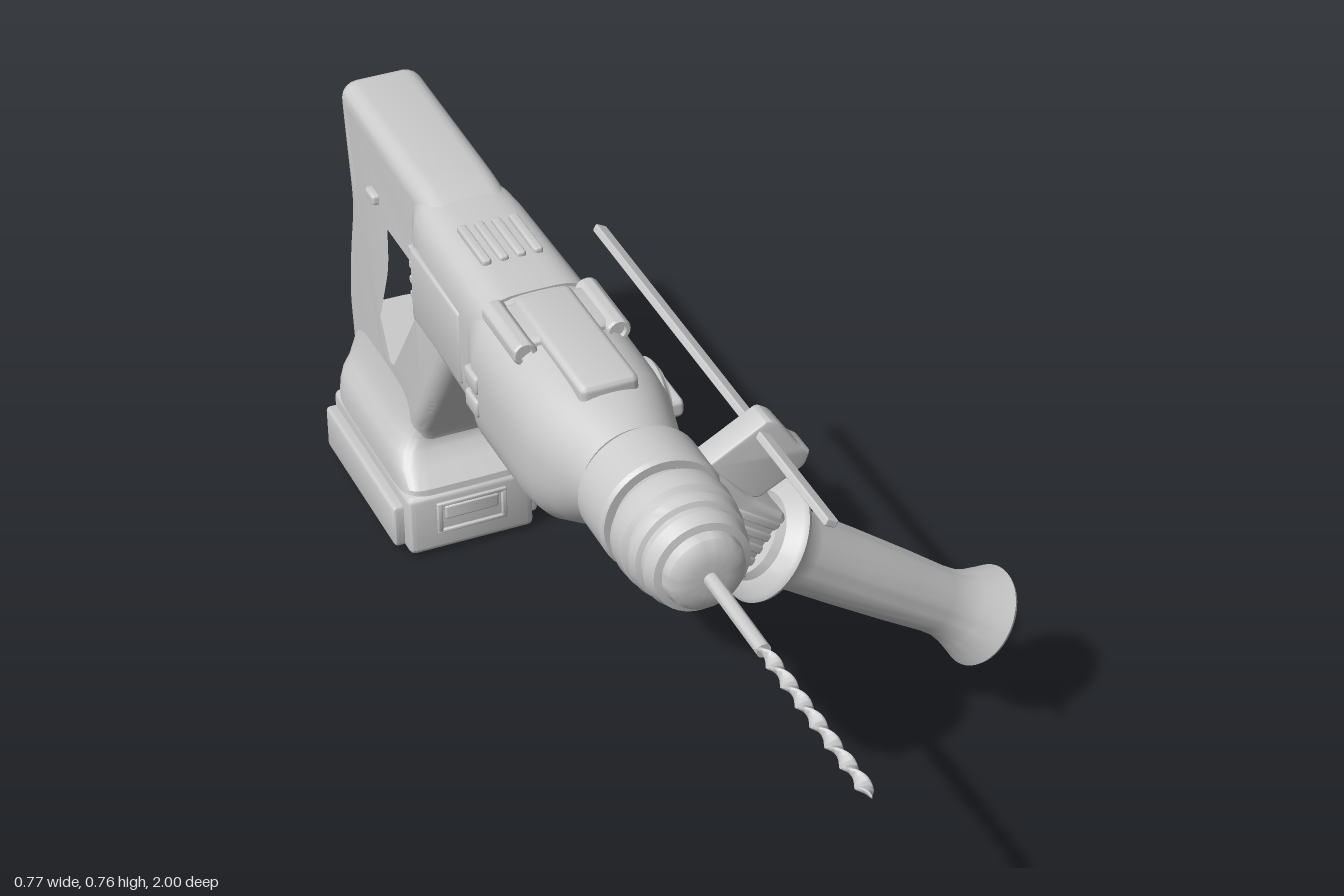
import * as THREE from 'three';
import { toCreasedNormals, mergeVertices } from 'three/addons/utils/BufferGeometryUtils.js';
import { RoundedBoxGeometry } from 'three/addons/geometries/RoundedBoxGeometry.js';

const X = -0.25, Y = 0.635; // tool axis
const material = new THREE.MeshStandardMaterial({ color: 0xcccccc });

function add(parent, name, geometry, x = 0, y = 0, z = 0) {
  const mesh = new THREE.Mesh(toCreasedNormals(geometry, 0.6), material);
  mesh.name = name;
  mesh.position.set(x, y, z);
  parent.add(mesh);
  return mesh;
}

// Box given by its centre and size
function box(parent, name, x, y, z, w, h, d, r = 0.006) {
  return add(parent, name, new RoundedBoxGeometry(w, h, d, 2, Math.min(r, w / 2.1, h / 2.1, d / 2.1)), x, y, z);
}

// Lathe from [radius, height] points, bottom to top
const lathe = (pts, n = 48) => new THREE.LatheGeometry(pts.map(p => new THREE.Vector2(...p)), n);
const latheZ = (pts, n) => lathe(pts, n).rotateX(Math.PI / 2);

// Polygon with rounded corners
function rounded(path, pts, r) {
  const v = pts.map(p => new THREE.Vector2(...p));
  v.forEach((p, i) => {
    const a = v[(i + v.length - 1) % v.length], b = v[(i + 1) % v.length];
    const cut = q => p.clone().lerp(q, Math.min(r / p.distanceTo(q), 0.48));
    const s = cut(a), e = cut(b);
    if (i) path.lineTo(s.x, s.y); else path.moveTo(s.x, s.y);
    path.quadraticCurveTo(p.x, p.y, e.x, e.y);
  });
  path.closePath();
  return path;
}

// Extrusion centred on its depth, bevel kept inside the outline
function extrude(shape, depth, bevel) {
  return new THREE.ExtrudeGeometry(shape, {
    depth: depth - 2 * bevel, bevelEnabled: true, bevelThickness: bevel, bevelSize: bevel,
    bevelOffset: -bevel, bevelSegments: 5, curveSegments: 8
  }).translate(0, 0, bevel - depth / 2);
}
// Side profile of [backward distance, height] points extruded across x
const sideProfile = (shape, depth, bevel) => extrude(shape, depth, bevel).rotateY(Math.PI / 2);

// Superellipse sections [z, halfWidth, yMin, yMax, exponent], ascending z
function loft(sections, n = 56) {
  const pos = [], idx = [];
  for (const [z, hw, lo, hi, e] of sections)
    for (let i = 0; i < n; i++) {
      const a = i / n * Math.PI * 2, c = Math.cos(a), s = Math.sin(a);
      pos.push(hw * Math.sign(c) * Math.abs(c) ** (2 / e),
        (lo + hi) / 2 + (hi - lo) / 2 * Math.sign(s) * Math.abs(s) ** (2 / e), z);
    }
  const m = sections.length, first = sections[0], last = sections[m - 1];
  pos.push(0, (first[2] + first[3]) / 2, first[0], 0, (last[2] + last[3]) / 2, last[0]);
  for (let i = 0; i < n; i++) {
    const j = (i + 1) % n, t = (m - 1) * n;
    for (let k = 0; k < m - 1; k++) {
      const a = k * n + i, b = k * n + j;
      idx.push(a, b, b + n, a, b + n, a + n);
    }
    idx.push(m * n, j, i, m * n + 1, t + i, t + j);
  }
  const g = new THREE.BufferGeometry();
  g.setAttribute('position', new THREE.Float32BufferAttribute(pos, 3));
  g.setIndex(idx);
  return mergeVertices(g);
}

function drillBit(group) {
  add(group, 'bitShank', new THREE.CylinderGeometry(0.012, 0.012, 0.26, 20).rotateX(Math.PI / 2), X, Y, 0.5);
  // Flattened rod twisted into flutes, tapering at the tip
  const g = new THREE.CylinderGeometry(0.013, 0.013, 0.38, 16, 120), p = g.attributes.position;
  for (let i = 0; i < p.count; i++) {
    const y = p.getY(i), a = (y + 0.19) * 62, taper = Math.min(1, (0.19 - y) / 0.02 + 0.15);
    const x = p.getX(i) * taper, z = p.getZ(i) * 0.45 * taper;
    p.setXYZ(i, x * Math.cos(a) - z * Math.sin(a), y, x * Math.sin(a) + z * Math.cos(a));
  }
  add(group, 'bitFlutes', g.rotateX(Math.PI / 2), X, Y, 0.81);
}

function sideHandle(group) {
  const h = new THREE.Group();
  h.name = 'sideHandle';
  h.position.set(X, Y, 0.21);
  h.rotation.z = -125.2 * Math.PI / 180; // local +y runs along the grip
  group.add(h);
  add(h, 'clampBand', latheZ([[0.07, -0.05], [0.1, -0.05], [0.105, -0.043], [0.105, 0.043], [0.1, 0.05], [0.07, 0.05]]));
  const arm = rounded(new THREE.Shape(), [[-0.1, 0.02], [-0.072, 0.13], [-0.068, 0.215], [0.062, 0.215], [0.068, 0.12], [0.1, 0.02]], 0.02);
  add(h, 'clampArm', extrude(arm, 0.096, 0.01));
  for (const x of [-0.045, -0.022, 0.001, 0.024])
    box(h, 'clampRib', x, 0.155, 0, 0.014, 0.1, 0.106, 0.004);
  add(h, 'grip', lathe([[0, 0.2], [0.068, 0.2], [0.074, 0.215], [0.1, 0.228], [0.105, 0.236], [0.102, 0.243],
    [0.08, 0.252], [0.069, 0.268], [0.066, 0.3], [0.064, 0.4], [0.06, 0.52], [0.056, 0.6], [0.057, 0.63],
    [0.065, 0.66], [0.079, 0.693], [0.086, 0.708], [0.083, 0.714], [0.064, 0.715], [0.056, 0.695], [0.036, 0.695],
    [0.034, 0.706], [0.02, 0.706], [0.018, 0.69], [0, 0.69]]));
}

function depthStop(group) {
  const holder = rounded(new THREE.Shape(), [[-0.17, 0.69], [-0.065, 0.748], [-0.045, 0.735], [-0.012, 0.685], [0.007, 0.672],
    [-0.003, 0.645], [-0.08, 0.605], [-0.13, 0.62]], 0.008);
  add(group, 'depthStopHolder', extrude(holder, 0.052, 0.004), 0, 0, 0.215);
  box(group, 'depthRod', -0.075, 0.721, 0.04, 0.022, 0.014, 0.9, 0.003).rotation.z = -0.5;
}

function housing(group) {
  add(group, 'chuck', latheZ([[0, 0.08], [0.082, 0.08], [0.085, 0.26], [0.09, 0.275], [0.1, 0.283], [0.102, 0.3], [0.1, 0.325],
    [0.092, 0.332], [0.092, 0.342], [0.097, 0.346], [0.092, 0.362], [0.084, 0.366], [0.084, 0.378], [0.088, 0.382],
    [0.08, 0.405], [0.068, 0.408], [0.064, 0.424], [0.052, 0.434], [0.03, 0.438], [0, 0.438]]), X, Y, 0);
  add(group, 'gearHousing', loft([[-0.31, 0.1, 0.475, 0.735, 3.5], [-0.275, 0.112, 0.46, 0.74, 3], [-0.23, 0.126, 0.455, 0.742, 2.8],
    [-0.04, 0.127, 0.455, 0.742, 2.6], [0.01, 0.124, 0.468, 0.74, 2.5], [0.06, 0.112, 0.492, 0.735, 2.3],
    [0.11, 0.098, 0.525, 0.73, 2.1], [0.145, 0.09, 0.545, 0.724, 2]]), X, 0, 0);
  add(group, 'motorHousing', loft([[-0.635, 0.06, 0.6, 0.735, 3.5], [-0.61, 0.08, 0.56, 0.742, 4], [-0.575, 0.092, 0.51, 0.744, 4],
    [-0.53, 0.098, 0.483, 0.744, 4], [-0.47, 0.1, 0.47, 0.744, 4], [-0.25, 0.104, 0.468, 0.744, 4]]), X, 0, 0);

  // Cover plates on the top and underside
  box(group, 'topPlate', X, 0.735, -0.09, 0.1, 0.038, 0.29, 0.012);
  box(group, 'topCrossPlate', X, 0.732, -0.17, 0.19, 0.03, 0.12, 0.012);
  box(group, 'bottomPlate', X, 0.47, -0.16, 0.11, 0.036, 0.22, 0.012);
  const boss = [[0, -0.07], [0.018, -0.07], [0.021, -0.066], [0.021, 0.066], [0.018, 0.07], [0.012, 0.07], [0.011, 0.062], [0, 0.062]];
  for (const s of [-1, 1]) {
    add(group, 'topScrewBoss', latheZ(boss, 24), X + s * 0.08, 0.732, -0.17);
    add(group, 'bottomScrewBoss', latheZ(boss, 24), X + s * 0.06, 0.475, -0.2);
    // Side shells, window pads and vents
    box(group, 'motorSidePanel', X + s * 0.098, 0.6, -0.45, 0.014, 0.14, 0.22);
    for (const y of [0.575, 0.62]) box(group, 'sideButton', X + s * 0.123, y, -0.225, 0.016, 0.034, 0.05);
    for (let i = 0; i < 4; i++)
      for (const z of [-0.555, -0.585])
        box(group, 'sideVent', X + s * (z > -0.57 ? 0.095 : 0.088), 0.555 + i * 0.03, z, 0.014, 0.014, 0.02, 0.003);
  }
  for (let i = 0; i < 4; i++) box(group, 'topVentRib', X - 0.045 + i * 0.03, 0.74, -0.41, 0.017, 0.024, 0.12);

  // Mode selector on the left flank
  const dial = lathe([[0, 0], [0.068, 0], [0.068, 0.018], [0.062, 0.024], [0.055, 0.024], [0.052, 0.03], [0, 0.03]], 40);
  add(group, 'modeDial', dial.rotateZ(-Math.PI / 2), -0.14, 0.605, -0.08);
  box(group, 'modeDialGrip', -0.103, 0.605, -0.08, 0.03, 0.034, 0.1, 0.01);
}

function rearHandle(group) {
  const outline = rounded(new THREE.Shape(), [[0.5, 0.735], [0.6, 0.752], [0.985, 0.757], [0.976, 0.68], [0.953, 0.535], [0.983, 0.42],
    [1.0, 0.32], [0.98, 0.13], [0.67, 0.13], [0.668, 0.2], [0.6, 0.295], [0.485, 0.47], [0.5, 0.6]], 0.035);
  outline.holes.push(rounded(new THREE.Path(), [[0.598, 0.615], [0.785, 0.615], [0.79, 0.51], [0.855, 0.36], [0.85, 0.265],
    [0.745, 0.265], [0.605, 0.46]], 0.03));
  add(group, 'rearHandle', sideProfile(outline, 0.148, 0.032), X, 0, 0);
  const trigger = rounded(new THREE.Shape(), [[0.685, 0.63], [0.69, 0.585], [0.73, 0.56], [0.732, 0.505], [0.755, 0.49],
    [0.83, 0.5], [0.83, 0.63]], 0.02);
  add(group, 'trigger', sideProfile(trigger, 0.06, 0.012), X, 0, 0);
  box(group, 'directionSwitch', X, 0.62, -0.81, 0.172, 0.02, 0.04);
}

function batteryBase(group) {
  // Flared foot, lofted upward
  add(group, 'handleFoot', loft([[0.1, 0.115, 0.6, 0.98, 9], [0.135, 0.115, 0.605, 0.98, 9], [0.16, 0.113, 0.635, 0.98, 8],
    [0.18, 0.107, 0.658, 0.983, 7], [0.2, 0.094, 0.665, 0.987, 6], [0.23, 0.083, 0.66, 0.992, 5], [0.28, 0.074, 0.645, 0.99, 5]])
    .rotateX(-Math.PI / 2), X, 0, 0);
  box(group, 'battery', X, 0.066, -0.789, 0.232, 0.12, 0.38, 0.012);
  for (const s of [-1, 1]) {
    box(group, 'batterySideRail', X + s * 0.122, 0.055, -0.8, 0.026, 0.085, 0.345, 0.008);
    box(group, 'batteryFoot', X + s * 0.07, 0.006, -0.79, 0.025, 0.012, 0.32, 0.004);
    box(group, 'latchFrameSide', X + s * 0.06, 0.075, -0.6, 0.01, 0.06, 0.012, 0.003);
    box(group, 'latchFrameBar', X, 0.075 + s * 0.028, -0.6, 0.13, 0.008, 0.012, 0.003);
  }
  box(group, 'batteryLatch', X, 0.084, -0.602, 0.1, 0.028, 0.014, 0.004);
}

export function createModel() {
  const group = new THREE.Group();
  group.name = 'rotaryHammerDrill';
  [drillBit, sideHandle, depthStop, housing, rearHandle, batteryBase].forEach(build => build(group));
  return group;
}
